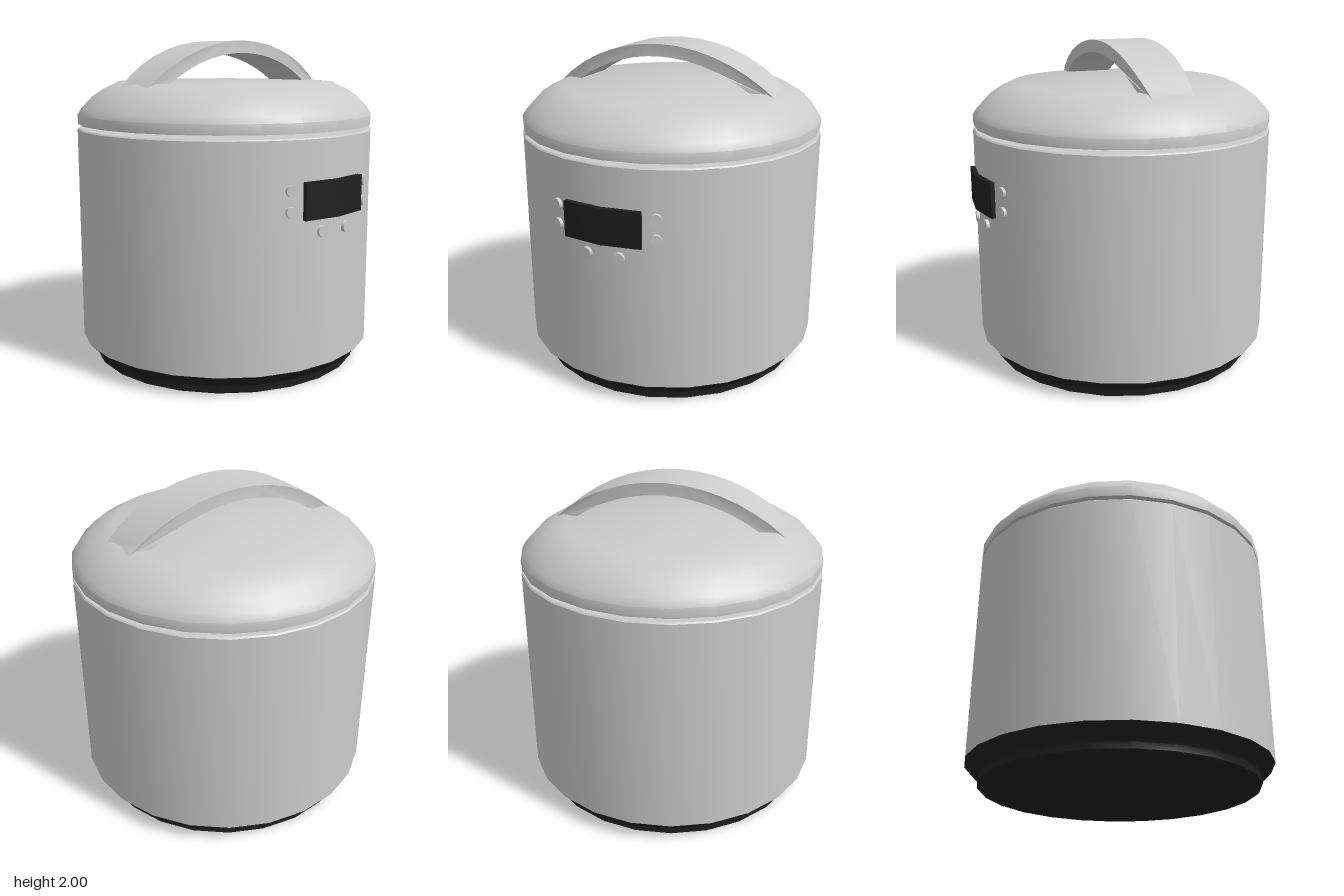
import * as THREE from 'three';
import { toCreasedNormals } from 'three/addons/utils/BufferGeometryUtils.js';

const SIDES = 24, R = 0.935;
const grey = new THREE.MeshStandardMaterial({ color: 0xcccccc });
const dark = new THREE.MeshStandardMaterial({ color: 0x202020 });

function part(name, geometry, material = grey, crease = 0.65) {
  const mesh = new THREE.Mesh(toCreasedNormals(geometry, crease), material);
  mesh.name = name;
  return mesh;
}

// Turned part from [radius, height] pairs, bottom to top
function turned(name, profile, material) {
  const points = profile.map(([r, y]) => new THREE.Vector2(r, y));
  return part(name, new THREE.LatheGeometry(points, SIDES), material);
}

// Arched band: thick at the feet, thinner at the top, narrowing towards both ends
function handle() {
  const arc = (top, radius, halfSpan, n) => Array.from({ length: n + 1 }, (_, i) => {
    const a = Math.asin(halfSpan / radius) * (1 - 2 * i / n);
    return new THREE.Vector2(radius * Math.sin(a), top - radius * (1 - Math.cos(a)));
  });
  const outer = arc(2.0, 1.057, 0.72, 14);
  const inner = arc(1.925, 0.983, 0.58, 14).reverse();
  const geo = new THREE.ExtrudeGeometry(new THREE.Shape([...outer, ...inner]), {
    depth: 2, bevelEnabled: false,
  });
  const p = geo.attributes.position;
  for (let i = 0; i < p.count; i++) {
    const halfWidth = 0.168 - 0.035 * (p.getX(i) / 0.7) ** 4;
    p.setZ(i, (p.getZ(i) - 1) * halfWidth);
  }
  return part('handle', geo);
}

// Display panel wrapped over the two front facets of the body
function display() {
  const shape = new THREE.Shape();
  const at = (radius, deg) => {
    const a = THREE.MathUtils.degToRad(deg);
    return [radius * Math.sin(a), -radius * Math.cos(a)];
  };
  shape.moveTo(...at(0.90, -14.5));
  shape.lineTo(...at(0.962, -14.5));
  shape.lineTo(...at(0.966, 0));
  shape.lineTo(...at(0.962, 14.5));
  shape.lineTo(...at(0.90, 14.5));
  shape.lineTo(...at(0.90, 0));
  const geo = new THREE.ExtrudeGeometry(shape, { depth: 0.215, bevelEnabled: false });
  geo.rotateX(-Math.PI / 2).translate(0, 1.01, 0);
  return part('display', geo, dark);
}

// Round button lying flat on the body facet at the given x
function button(x, y) {
  const step = 2 * Math.PI / SIDES;
  const facet = (Math.floor(Math.asin(x / R) / step) + 0.5) * step;
  const z = (R * Math.cos(step / 2) - x * Math.sin(facet)) / Math.cos(facet);
  const geo = new THREE.CylinderGeometry(0.033, 0.034, 0.04, 16);
  geo.rotateX(Math.PI / 2).rotateY(facet).translate(x, y, z);
  return part('button', geo);
}

export function createModel() {
  const model = new THREE.Group();
  model.name = 'riceCooker';

  model.add(turned('base', [
    [0, 0], [0.843, 0], [0.851, 0.008], [0.851, 0.045], [0.862, 0.06], [R, 0.13], [0, 0.13],
  ], dark));
  model.add(turned('body', [
    [0, 0.13], [R, 0.13], [R, 1.458], [0.927, 1.466], [0, 1.466],
  ]));
  model.add(turned('lid', [
    [0, 1.49], [0.931, 1.49], [0.933, 1.55], [0.907, 1.59], [0.84, 1.66],
    [0.77, 1.705], [0.68, 1.747], [0, 1.75],
  ]));
  model.add(handle(), display());

  // Two buttons on each side of the display, one pair below it
  const buttons = new THREE.Group();
  buttons.name = 'buttons';
  for (const side of [-1, 1]) {
    for (const [x, y] of [[0.305, 1.18], [0.305, 1.06], [0.1, 0.935]]) {
      buttons.add(button(side * x, y));
    }
  }
  model.add(buttons);

  model.children.forEach((child) => { child.position.z = -0.013; });
  return model;
}
